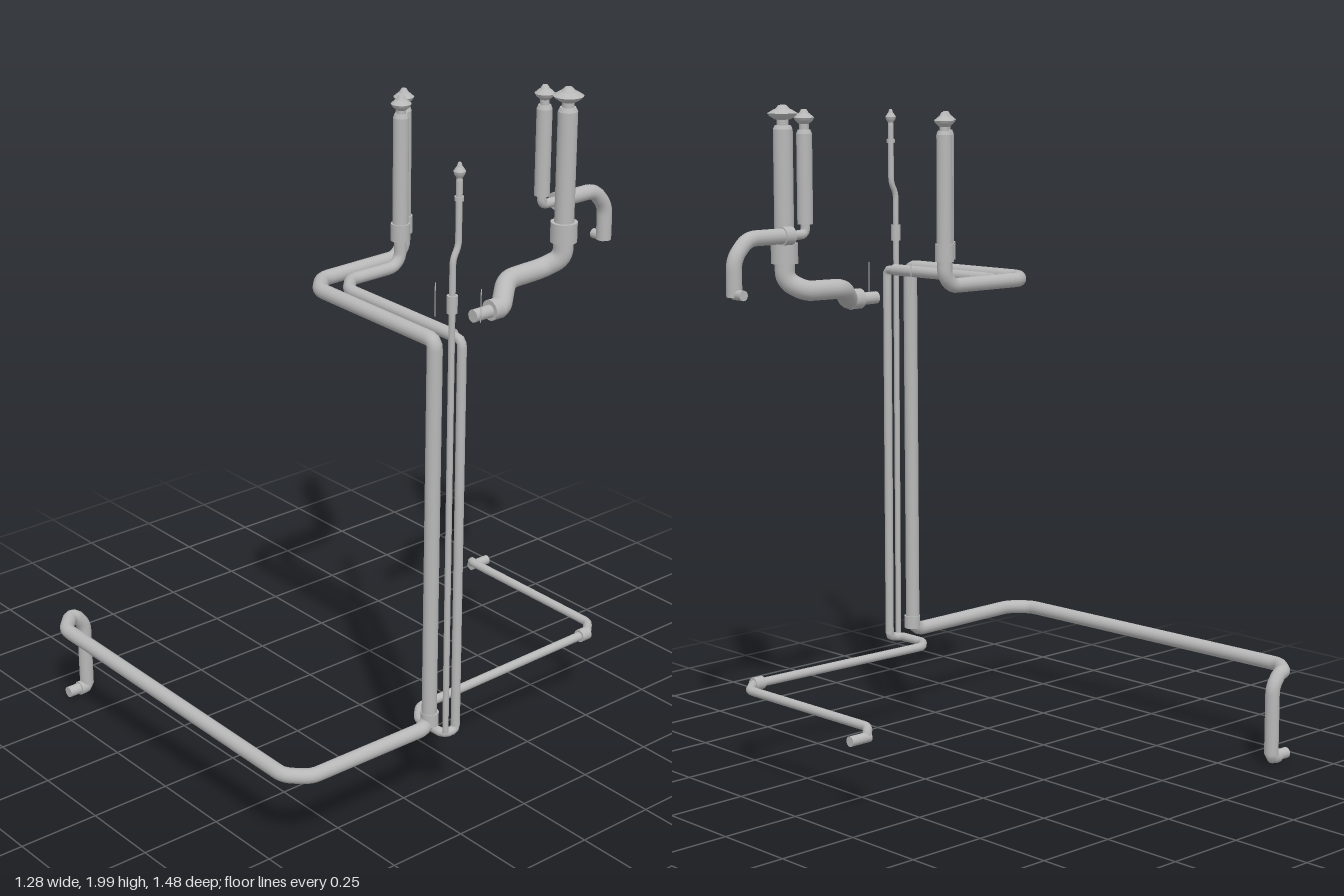
import * as THREE from 'three';

const V = (p) => new THREE.Vector3(...p);

export function createModel() {
  const model = new THREE.Group();
  const metal = new THREE.MeshStandardMaterial({ color: 0xb8b8b8 });
  metal.name = 'flue grey';

  const add = (name, geometry, parent = model) => {
    const mesh = new THREE.Mesh(geometry, metal);
    mesh.name = name;
    parent.add(mesh);
    return mesh;
  };

  // Straight closed cylinder between two points
  const rod = (name, a, b, r, r2 = r) => {
    const p = V(a), q = V(b), d = q.clone().sub(p);
    const m = add(name, new THREE.CylinderGeometry(r2, r, d.length(), 20));
    m.position.copy(p).add(q).multiplyScalar(0.5);
    m.quaternion.setFromUnitVectors(new THREE.Vector3(0, 1, 0), d.normalize());
    return m;
  };

  // Pipe run along corner points, with rounded elbows and closed ends
  const pipe = (name, r, pts, bend = 0.025) => {
    const p = pts.map(V);
    const path = new THREE.CurvePath();
    let last = p[0];
    for (let i = 1; i < p.length - 1; i++) {
      const a = p[i - 1].clone().sub(p[i]), b = p[i + 1].clone().sub(p[i]);
      const k = Math.min(bend, a.length() * 0.45, b.length() * 0.45);
      const s = p[i].clone().addScaledVector(a.normalize(), k);
      const e = p[i].clone().addScaledVector(b.normalize(), k);
      path.add(new THREE.LineCurve3(last, s));
      path.add(new THREE.QuadraticBezierCurve3(s, p[i], e));
      last = e;
    }
    path.add(new THREE.LineCurve3(last, p[p.length - 1]));
    const steps = Math.ceil(path.getLength() / 0.012) + 8;
    const group = new THREE.Group();
    group.name = name;
    model.add(group);
    add('pipeRun', new THREE.TubeGeometry(path, steps, r, 16), group);
    [[0, 1], [p.length - 1, p.length - 2]].forEach(([i, j]) => {
      const disc = add('pipeEnd', new THREE.CircleGeometry(r, 16), group);
      disc.position.copy(p[i]);
      disc.quaternion.setFromUnitVectors(new THREE.Vector3(0, 0, 1), p[i].clone().sub(p[j]).normalize());
    });
  };

  // Roof terminal: outer tube, neck and rain cap
  const terminal = (name, x, z, y0, y1, top, r, capR) => {
    const group = new THREE.Group();
    group.name = name;
    group.position.set(x, 0, z);
    model.add(group);
    const cyl = (part, rt, rb, a, b) => {
      add(part, new THREE.CylinderGeometry(rt, rb, b - a, 24), group).position.y = (a + b) / 2;
    };
    cyl('outerTube', r, r, y0, y1);
    cyl('lip', r * 0.8, r, y1, y1 + 0.012);
    cyl('neck', r * 0.6, r * 0.6, y1, top - 0.012);
    cyl('capBrim', capR, capR * 0.85, top - 0.032, top - 0.024);
    cyl('capSlope', capR * 0.55, capR, top - 0.024, top - 0.012);
    cyl('capTop', capR * 0.25, capR * 0.5, top - 0.012, top);
    cyl('capUnderside', capR * 0.85, capR * 0.5, top - 0.042, top - 0.032);
  };

  // Main flue from the low front corner to the roof
  pipe('mainFlue', 0.022, [
    [-0.62, 0.03, 0.64], [-0.62, 0.03, 0.61], [-0.62, 0.25, 0.61], [-0.62, 0.288, 0.64],
    [-0.62, 0.29, 0.66], [-0.56, 0.29, 0.715], [0.525, 0.28, 0.715], [0.58, 0.28, 0.66],
    [0.58, 0.276, 0.25], [0.58, 0.30, 0.225], [0.58, 1.467, 0.222], [0.085, 1.472, 0.22],
    [0.022, 1.473, 0.16], [0.022, 1.475, -0.115], [0.022, 1.505, -0.145], [0.022, 1.56, -0.145],
  ]);
  rod('mainFlueInlet', [-0.62, 0.03, 0.61], [-0.62, 0.03, 0.68], 0.017);
  rod('mainFlueCollar', [0.58, 0.285, 0.223], [0.58, 0.325, 0.223], 0.026);

  // Second flue from the low back corner up to the roof
  pipe('secondFlueLower', 0.0135, [
    [-0.15, 0.245, -0.61], [-0.15, 0.262, -0.605], [-0.13, 0.268, -0.59], [0.405, 0.265, -0.59],
    [0.452, 0.265, -0.54], [0.452, 0.257, 0.15], [0.50, 0.255, 0.197], [0.60, 0.255, 0.197],
    [0.615, 0.255, 0.18], [0.615, 0.26, 0.155], [0.615, 1.46, 0.155], [0.56, 1.463, 0.15],
  ], 0.016);
  rod('secondFlueInlet', [-0.15, 0.245, -0.60], [-0.15, 0.245, -0.672], 0.015);
  rod('secondFlueCollar', [0.452, 0.265, -0.54], [0.452, 0.265, -0.505], 0.02);
  pipe('secondFlueUpper', 0.018, [
    [0.575, 1.463, 0.15], [0.13, 1.468, 0.15], [0.072, 1.47, 0.095], [0.072, 1.47, -0.065],
    [0.072, 1.495, -0.092], [0.072, 1.56, -0.092],
  ]);

  // Thin vent with an offset below its cap
  pipe('ventPipe', 0.009, [
    [0.616, 0.26, 0.194], [0.616, 1.70, 0.194], [0.616, 1.735, 0.175], [0.616, 1.80, 0.175],
  ], 0.015);
  rod('ventSleeve', [0.616, 1.55, 0.194], [0.616, 1.60, 0.194], 0.015);
  rod('ventRing', [0.616, 1.86, 0.175], [0.616, 1.872, 0.175], 0.013);
  terminal('ventTerminal', 0.616, 0.175, 1.79, 1.915, 1.965, 0.009, 0.017);

  // Paired roof terminals
  [['mainTerminal', 0.022, -0.145], ['secondTerminal', 0.072, -0.092]].forEach(([n, x, z]) => {
    terminal(n, x, z, 1.59, 1.915, 1.98, 0.023, 0.03);
    rod(n + 'Sleeve', [x, 1.548, z], [x, 1.60, z], 0.028);
  });

  // Wide upper flue
  pipe('wideFlue', 0.03, [
    [0.395, 1.41, -0.16], [0.395, 1.41, -0.195], [0.328, 1.455, -0.275],
    [0.328, 1.458, -0.42], [0.365, 1.49, -0.465], [0.365, 1.57, -0.465],
  ], 0.035);
  rod('wideFlueCollar', [0.395, 1.41, -0.19], [0.395, 1.41, -0.15], 0.031);
  rod('wideFlueInlet', [0.395, 1.408, -0.16], [0.395, 1.408, -0.085], 0.019);
  rod('wideFlueSleeve', [0.365, 1.54, -0.465], [0.365, 1.60, -0.465], 0.04);
  terminal('wideTerminal', 0.365, -0.465, 1.59, 1.93, 2.0, 0.029, 0.045);

  // Back upper flue
  pipe('backFlue', 0.023, [
    [0.278, 1.468, -0.72], [0.278, 1.575, -0.72], [0.278, 1.63, -0.67], [0.278, 1.63, -0.53],
  ], 0.03);
  rod('backFlueInlet', [0.278, 1.475, -0.72], [0.235, 1.475, -0.72], 0.015);
  rod('backFlueCollar', [0.278, 1.63, -0.545], [0.278, 1.63, -0.51], 0.027);
  pipe('backFlueNeck', 0.014, [[0.278, 1.63, -0.52], [0.278, 1.63, -0.457], [0.278, 1.68, -0.457]], 0.02);
  terminal('backTerminal', 0.278, -0.457, 1.66, 1.92, 1.99, 0.023, 0.03);

  // Hair-thin hanging wires
  for (const [x, z] of [[0.33, 0], [0.45, -0.065]]) {
    rod('hangingWire', [x, 1.41, z], [x, 1.51, z], 0.0015);
  }
  return model;
}
